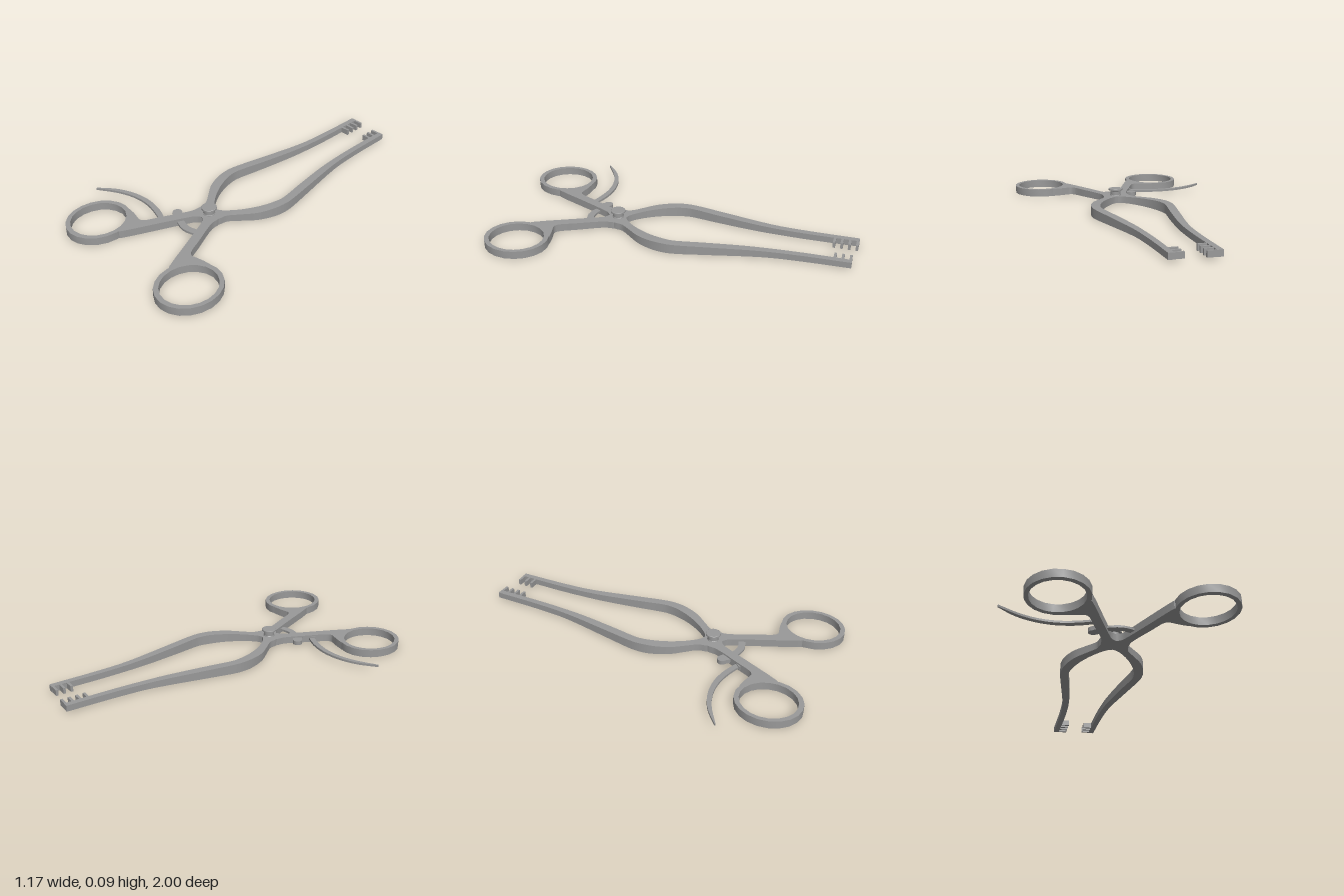
import * as THREE from 'three';
import { toCreasedNormals } from 'three/addons/utils/BufferGeometryUtils.js';

const AXIS = 0.053; // x of the mirror line through the pivot
const MID = 0.028; // height of the middle plane
const steel = new THREE.MeshStandardMaterial({ color: 0x999999 });

const vecs = (pts) => pts.map(([x, z]) => new THREE.Vector2(x, z));
const smooth = (pts, n) => new THREE.SplineCurve(vecs(pts)).getPoints(n);
const arc = (cx, cz, rx, rz, from, to, n) =>
  Array.from({ length: n }, (_, i) => {
    const a = from + ((to - from) * i) / n;
    return new THREE.Vector2(cx + rx * Math.cos(a), cz + rz * Math.sin(a));
  });

function addMesh(parent, name, geometry) {
  const mesh = new THREE.Mesh(geometry, steel);
  mesh.name = name;
  parent.add(mesh);
  return mesh;
}

// half thickness of the forged halves along z
const THICK = [[-1, 0.017], [-0.55, 0.018], [-0.05, 0.027], [0.05, 0.028], [0.28, 0.02], [0.42, 0.02], [0.62, 0.022], [1.01, 0.022]];
function halfThickness(z) {
  const i = Math.max(1, THICK.findIndex(([end]) => z <= end));
  const [z0, t0] = THICK[i - 1], [z1, t1] = THICK[i];
  return THREE.MathUtils.mapLinear(z, z0, z1, t0, t1);
}

// flat plate of even thickness from a plan outline in (x, z); a hole runs the opposite way round
function plate(outline, half, hole) {
  const flip = (pts) => pts.map((p) => new THREE.Vector2(p.x, -p.y));
  const shape = new THREE.Shape(flip(outline));
  if (hole) shape.holes.push(new THREE.Path(flip(hole)));
  const geo = new THREE.ExtrudeGeometry(shape, { depth: 2 * half, bevelEnabled: false });
  geo.rotateX(-Math.PI / 2).translate(0, MID - half, 0);
  return toCreasedNormals(geo, 0.5);
}

// bar of rectangular sections between a low-x edge and a high-x edge
function bar(edgeA, edgeB) {
  const positions = [], index = [];
  edgeA.forEach((a, i) => {
    const b = edgeB[i], ta = halfThickness(a.y), tb = halfThickness(b.y);
    positions.push(a.x, MID + ta, a.y, b.x, MID + tb, b.y, b.x, MID - tb, b.y, a.x, MID - ta, a.y);
    if (i === 0) return;
    for (let j = 0; j < 4; j++) {
      const p = (i - 1) * 4 + j, q = (i - 1) * 4 + ((j + 1) % 4);
      index.push(p, p + 4, q + 4, p, q + 4, q);
    }
  });
  const e = (edgeA.length - 1) * 4;
  index.push(0, 1, 2, 0, 2, 3, e, e + 2, e + 1, e, e + 3, e + 2);
  const geo = new THREE.BufferGeometry();
  geo.setAttribute('position', new THREE.Float32BufferAttribute(positions, 3));
  geo.setIndex(index);
  return toCreasedNormals(geo, 0.5);
}

// one half: jaw arm on one side, crossing to a finger ring on the other
function makeHalf(name, mirrored, tipZ, teeth) {
  const group = new THREE.Group();
  group.name = name;
  const sideX = (x) => (mirrored ? 2 * AXIS - x : x);
  const side = (pts) => pts.map((p) => new THREE.Vector2(sideX(p.x), p.y));

  // matching points along both edges, from jaw tip to the fillet on the ring
  const outer = side(smooth([
    [-0.079, tipZ], [-0.082, -0.72], [-0.097, -0.5], [-0.147, -0.22], [-0.176, -0.06], [-0.18, 0.02],
    [-0.165, 0.1], [-0.13, 0.18], [-0.075, 0.25], [-0.033, 0.305], [-0.022, 0.355], [0.005, 0.395],
    [0.05, 0.41], [0.08, 0.43], [0.102, 0.47], [0.14, 0.553], [0.19, 0.665], [0.235, 0.765],
    [0.264, 0.81], [0.288, 0.742], [0.328, 0.69],
  ], 80));
  const inner = side(smooth([
    [-0.048, tipZ], [-0.048, -0.7], [-0.062, -0.46], [-0.1, -0.21], [-0.128, -0.06], [-0.132, 0],
    [-0.118, 0.07], [-0.085, 0.15], [-0.035, 0.23], [0.02, 0.29], [0.055, 0.308], [0.11, 0.325],
    [0.128, 0.36], [0.132, 0.405], [0.155, 0.465], [0.2, 0.56], [0.236, 0.64], [0.262, 0.664],
    [0.292, 0.66], [0.33, 0.651], [0.38, 0.644],
  ], 80));
  addMesh(group, 'jawArm', mirrored ? bar(inner, outer) : bar(outer, inner));

  const ring = arc(0.422, 0.819, 0.163, 0.18, 0, Math.PI * 2, 20);
  const hole = arc(0.423, 0.819, 0.14, 0.153, Math.PI * 2, 0, 20);
  addMesh(group, 'fingerRing', plate(side(ring), 0.022, side(hole)));

  // short prongs pointing inward from the jaw tip
  for (let i = 0; i < teeth; i++) {
    const tooth = addMesh(group, 'tooth', new THREE.BoxGeometry(0.06, 0.033, 0.014));
    tooth.position.set(sideX(-0.028), MID, tipZ + 0.008 + i * 0.0415);
  }
  return group;
}

export function createModel() {
  const model = new THREE.Group();
  model.name = 'retractor';
  model.add(makeHalf('rightJawHalf', false, -1, 4));
  model.add(makeHalf('leftJawHalf', true, -0.98, 3));

  // pivot screw with a straight neck and flat head
  const screwProfile = vecs([
    [0, 0.02], [0.033, 0.02], [0.033, 0.05], [0.031, 0.053], [0.031, 0.075],
    [0.042, 0.079], [0.042, 0.087], [0.04, 0.089], [0, 0.089],
  ]);
  const screw = addMesh(model, 'pivotScrew', toCreasedNormals(new THREE.LatheGeometry(screwProfile, 16), 0.5));
  screw.position.set(AXIS, 0, 0.357);

  // curved ratchet bar tapering to a point
  const barTop = smooth([[-0.587, 0.638], [-0.5, 0.565], [-0.4, 0.519], [-0.29, 0.502], [-0.18, 0.516], [-0.09, 0.55]], 18);
  const barLow = smooth([[-0.07, 0.59], [-0.165, 0.554], [-0.265, 0.533], [-0.37, 0.539], [-0.475, 0.576], [-0.585, 0.644]], 18);
  addMesh(model, 'ratchetBar', plate([...barTop, ...barLow], 0.006));

  // ratchet section bridging the two shanks
  const bridgeTop = smooth([[-0.02, 0.479], [0.0, 0.49], [AXIS, 0.502], [0.106, 0.49], [0.126, 0.479]], 10);
  const bridgeLow = smooth([[0.126, 0.52], [0.106, 0.53], [AXIS, 0.541], [0.0, 0.53], [-0.02, 0.52]], 10);
  addMesh(model, 'ratchetBridge', plate([...bridgeTop, ...bridgeLow], 0.006));

  // release catch: rounded thumb knob on a bent lever
  const knob = arc(-0.082, 0.468, 0.027, 0.027, Math.PI * 0.6, Math.PI * 1.75, 8);
  const lever = smooth([[-0.045, 0.462], [-0.03, 0.49], [-0.03, 0.53], [-0.06, 0.58], [-0.112, 0.583], [-0.09, 0.55], [-0.068, 0.515]], 18);
  addMesh(model, 'releaseCatch', plate([...knob, ...lever], 0.012));

  return model;
}
